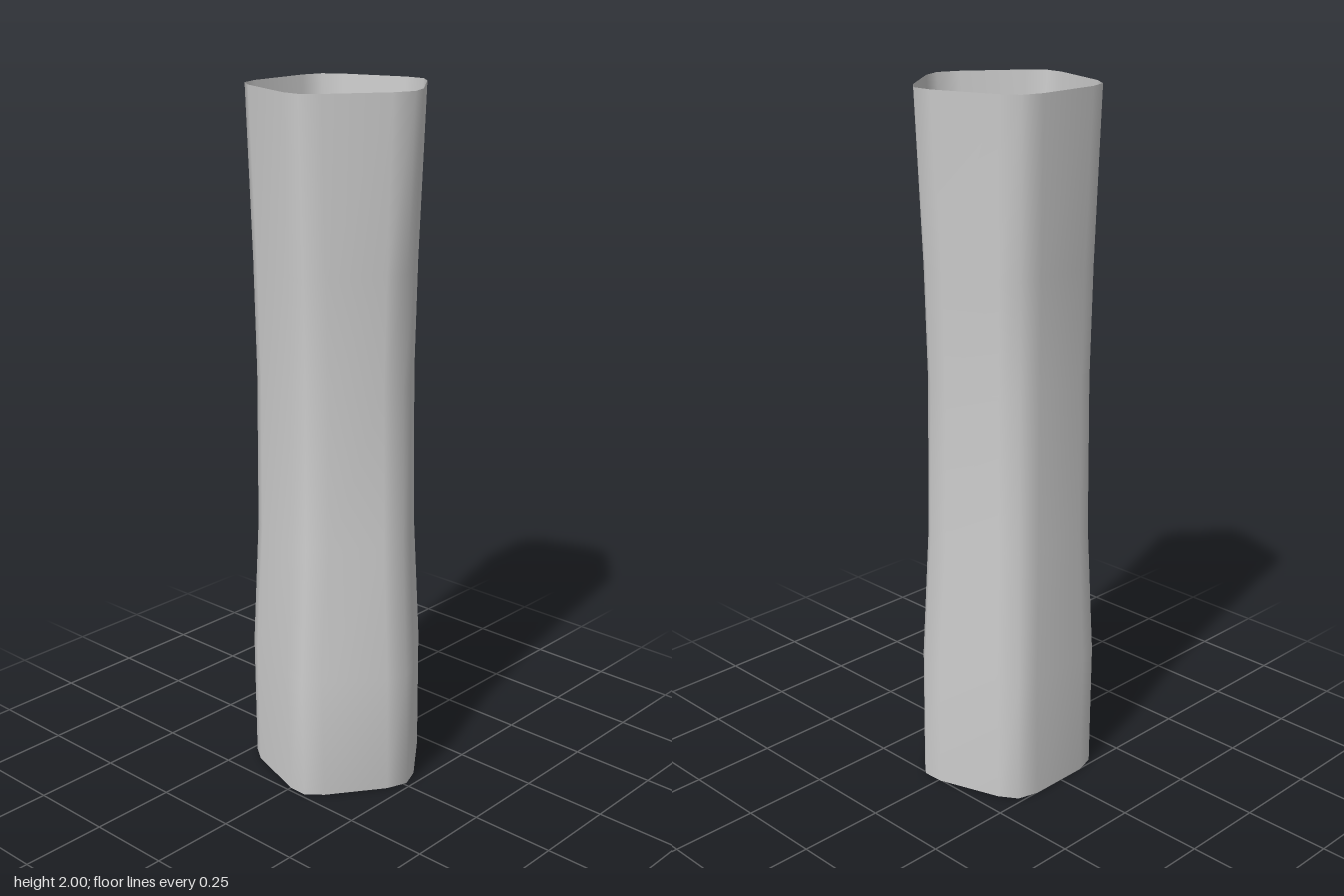
import * as THREE from 'three';

// Rounded five-sided outlines as [x, z], each corner made of three points
const END = [
  [0.233, -0.01], [0.21, 0.05], [0.10, 0.20], [0.055, 0.238], [0, 0.237],
  [-0.186, 0.176], [-0.235, 0.141], [-0.252, 0.085], [-0.252, -0.10], [-0.235, -0.16],
  [-0.185, -0.193], [-0.005, -0.253], [0.055, -0.255], [0.10, -0.217], [0.211, -0.068],
];
const BULGE = [
  [0.252, 0.02], [0.228, 0.075], [0.11, 0.22], [0.062, 0.252], [0, 0.247],
  [-0.188, 0.178], [-0.237, 0.143], [-0.253, 0.085], [-0.252, -0.105], [-0.235, -0.16],
  [-0.185, -0.193], [-0.005, -0.249], [0.055, -0.25], [0.103, -0.212], [0.233, -0.035],
];
const WAIST = [
  [0.203, -0.01], [0.183, 0.048], [0.095, 0.17], [0.045, 0.21], [-0.012, 0.21],
  [-0.165, 0.167], [-0.215, 0.133], [-0.232, 0.08], [-0.23, -0.08], [-0.21, -0.135],
  [-0.163, -0.168], [-0.01, -0.218], [0.047, -0.22], [0.095, -0.185], [0.183, -0.063],
];

const blend = (a, b, t) => a.map(([x, z], i) => [x + (b[i][0] - x) * t, z + (b[i][1] - z) * t]);

// Joins the outlines, stacked by height, into one open smooth skin
function loft(rings) {
  const n = rings[0].outline.length;
  const positions = [];
  const index = [];
  for (const { y, outline } of rings) {
    for (const [x, z] of outline) positions.push(x, y, z);
  }
  for (let r = 0; r < rings.length - 1; r++) {
    for (let i = 0; i < n; i++) {
      const a = r * n + i;
      const b = r * n + ((i + 1) % n);
      index.push(a, a + n, b, b, a + n, b + n);
    }
  }
  const geometry = new THREE.BufferGeometry();
  geometry.setAttribute('position', new THREE.Float32BufferAttribute(positions, 3));
  geometry.setIndex(index);
  geometry.computeVertexNormals();
  return geometry;
}

export function createModel() {
  const group = new THREE.Group();
  group.name = 'openSleeve';

  // Straight foot, bulge above it, narrow waist, flared open top
  const rings = [
    { y: 0, outline: END },
    { y: 0.37, outline: BULGE },
    { y: 0.75, outline: blend(WAIST, END, 0.2) },
    { y: 1.2, outline: WAIST },
    { y: 1.52, outline: blend(WAIST, END, 0.27) },
    { y: 2, outline: END },
  ];
  const material = new THREE.MeshStandardMaterial({ color: 0xcccccc, side: THREE.DoubleSide });
  const sleeve = new THREE.Mesh(loft(rings), material);
  sleeve.name = 'sleeveWall';
  group.add(sleeve);
  return group;
}
